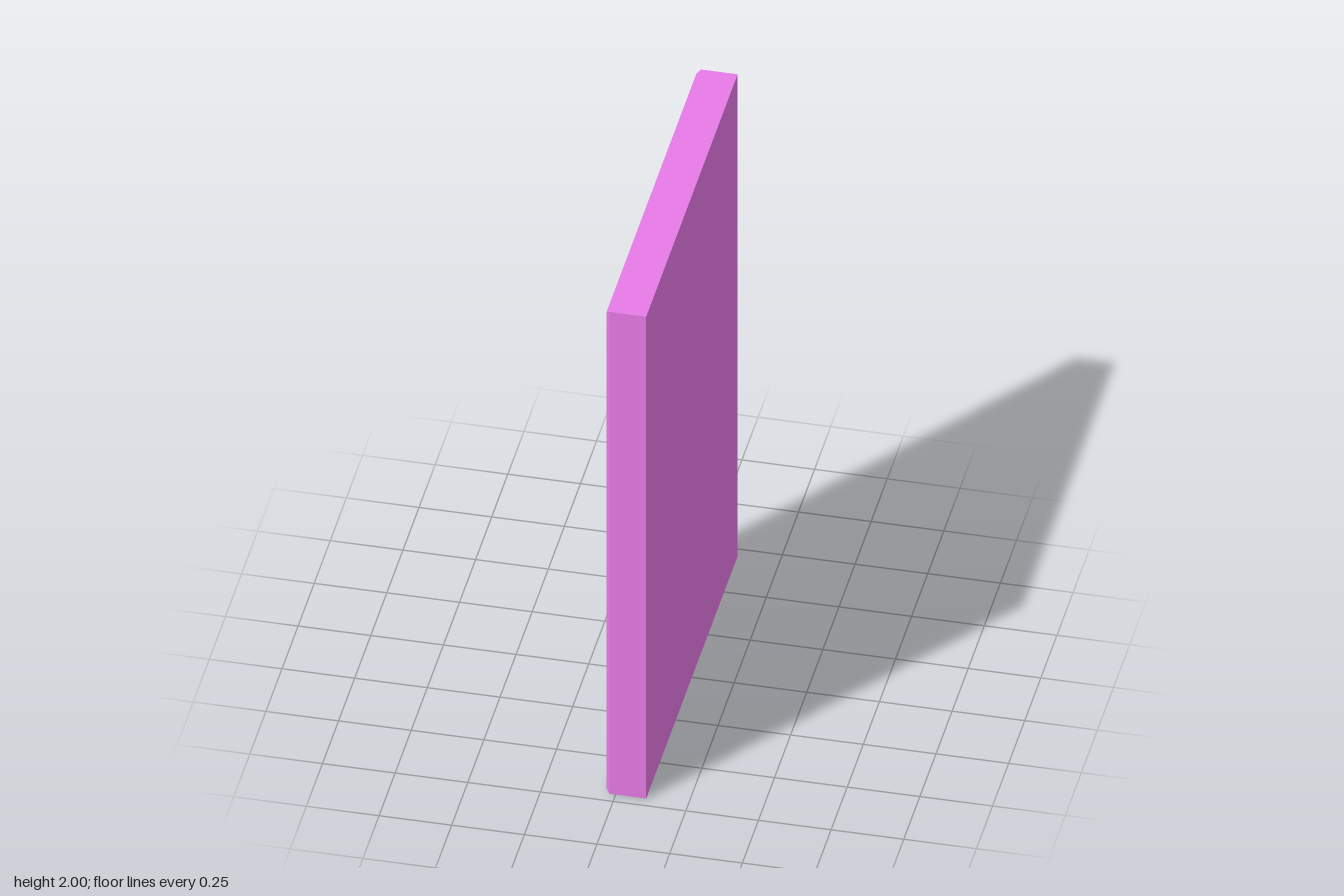
import * as THREE from 'three';
import { toCreasedNormals } from 'three/addons/utils/BufferGeometryUtils.js';

const pink = new THREE.MeshStandardMaterial({ color: 0xe87be8 });
const green = new THREE.MeshStandardMaterial({ color: 0x6cec74 });

const FACE = -0.035; // x of the panel's button side

function add(parent, name, geometry, material) {
  const mesh = new THREE.Mesh(geometry, material);
  mesh.name = name;
  parent.add(mesh);
  return mesh;
}

// Outline given as [z, y] points, raised from x = base towards -x
function raised(parent, name, points, base, depth, material) {
  const shape = new THREE.Shape(points.map(([z, y]) => new THREE.Vector2(z, y)));
  const geometry = new THREE.ExtrudeGeometry(shape, { depth, bevelEnabled: false });
  geometry.rotateY(-Math.PI / 2);
  geometry.translate(base, 0, 0);
  return add(parent, name, geometry, material);
}

const rect = (z0, z1, y0, y1) => [[z0, y0], [z1, y0], [z1, y1], [z0, y1]];

export function createModel() {
  const model = new THREE.Group();
  model.name = 'callPanel';

  // Panel slab with a chamfered lip on the button side
  const slab = new THREE.BoxGeometry(0.127, 2, 1.42);
  slab.translate(0.0415, 1, 0);
  add(model, 'panelSlab', slab, pink);

  const lip = new THREE.BoxGeometry(0.013, 2, 1.42);
  const p = lip.attributes.position;
  for (let i = 0; i < p.count; i++) {
    if (p.getX(i) < 0) {
      p.setY(i, p.getY(i) - Math.sign(p.getY(i)) * 0.013);
      p.setZ(i, p.getZ(i) - Math.sign(p.getZ(i)) * 0.013);
    }
  }
  lip.computeVertexNormals();
  lip.translate(-0.0285, 1, 0);
  add(model, 'panelLip', lip, pink);

  // Round call button with a bevelled rim
  const callButton = new THREE.Group();
  callButton.name = 'callButton';
  model.add(callButton);
  const profile = [[0, 0], [0.169, 0], [0.169, 0.04], [0.157, 0.055], [0, 0.055]]
    .map(([r, h]) => new THREE.Vector2(r, h));
  const disc = toCreasedNormals(new THREE.LatheGeometry(profile, 64), 0.5);
  disc.rotateZ(Math.PI / 2);
  disc.translate(FACE, 1.057, 0.014);
  add(callButton, 'callButtonDisc', disc, green);

  // Up arrow
  const c = 0.013;
  raised(callButton, 'upArrow', [
    [c - 0.018, 0.965], [c + 0.018, 0.965], [c + 0.018, 1.065], [c + 0.043, 1.065],
    [c, 1.155], [c - 0.043, 1.065], [c - 0.018, 1.065],
  ], -0.09, 0.018, green);

  // Square door buttons: triangles point inwards to close, outwards to open
  const doors = [['closeDoorButton', -0.21, -1], ['openDoorButton', 0.225, 1]];
  for (const [name, z, dir] of doors) {
    const button = new THREE.Group();
    button.name = name;
    model.add(button);
    raised(button, 'doorButtonPlate', rect(z - 0.11, z + 0.11, 0.315, 0.53), FACE, 0.029, pink);
    raised(button, 'doorBar', rect(z - 0.009, z + 0.009, 0.355, 0.49), -0.064, 0.014, pink);
    for (const side of [-1, 1]) {
      const inner = z + side * 0.022, outer = z + side * 0.082;
      const base = dir > 0 ? inner : outer;
      const tip = dir > 0 ? outer : inner;
      raised(button, 'doorTriangle', [[base, 0.355], [tip, 0.4225], [base, 0.49]], -0.064, 0.014, pink);
    }
  }
  return model;
}
